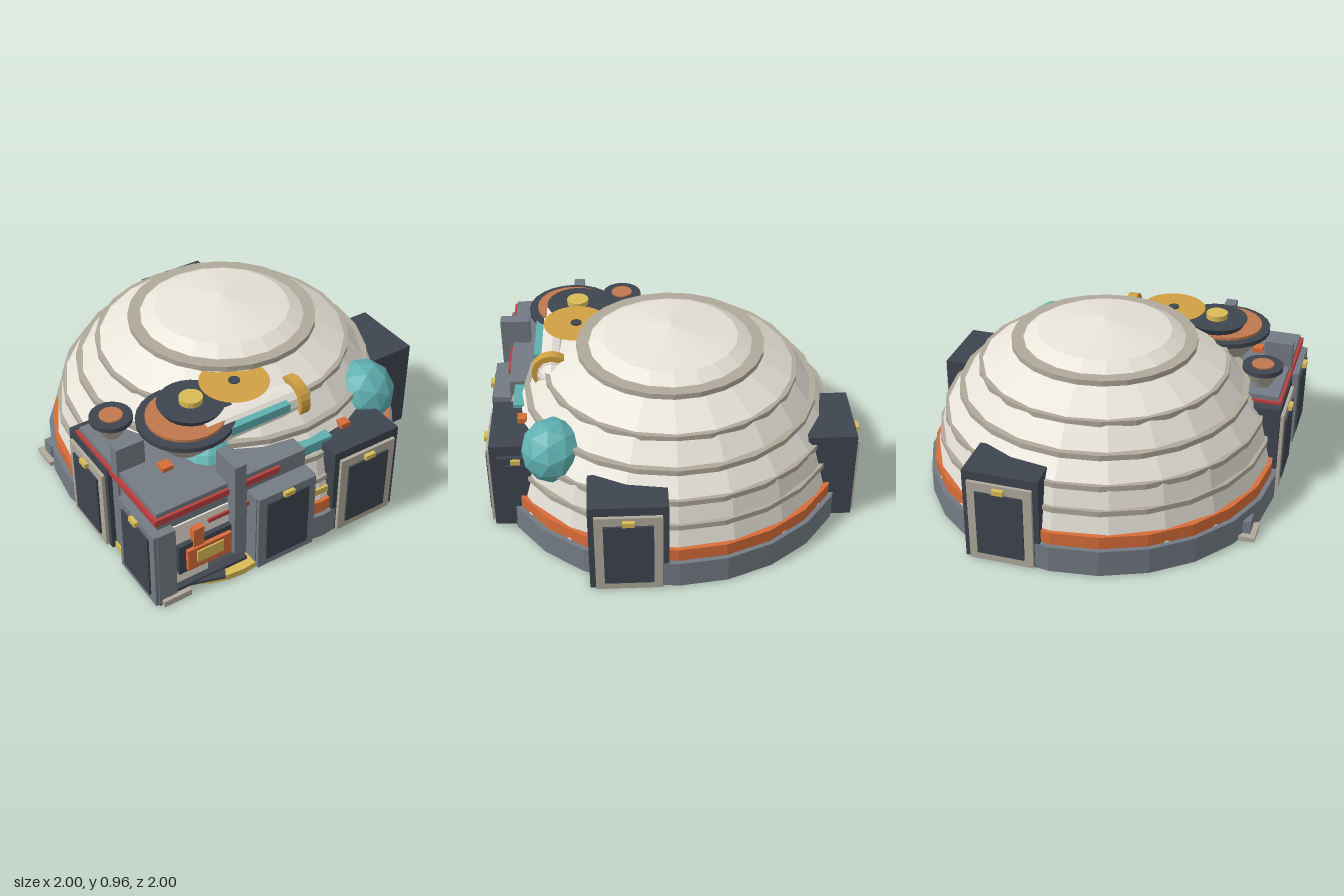
import * as THREE from 'three';

const mat = (name, color) => {
  const m = new THREE.MeshStandardMaterial({ color, flatShading: true });
  m.name = name;
  return m;
};

export function createModel() {
  const shell = mat('shell white', 0xe9e5db);
  const stone = mat('stone', 0xb0aa9c);
  const gray = mat('steel gray', 0x747b84);
  const dark = mat('dark slate', 0x3f454f);
  const copper = mat('copper', 0xc0774e);
  const orange = mat('orange', 0xd86d39);
  const teal = mat('teal', 0x5fb0b1);
  const gold = mat('gold', 0xd0a043);
  const yellow = mat('yellow', 0xd8bb56);
  const red = mat('red', 0xbb3f3e);

  const model = new THREE.Group();
  model.name = 'domeHabitat';

  const add = (parent, name, geo, material, x = 0, y = 0, z = 0) => {
    const m = new THREE.Mesh(geo, material);
    m.name = name;
    m.position.set(x, y, z);
    parent.add(m);
    return m;
  };
  // box given by its limits on each axis
  const box = (parent, name, material, x0, x1, y0, y1, z0, z1) =>
    add(parent, name, new THREE.BoxGeometry(x1 - x0, y1 - y0, z1 - z0), material,
      (x0 + x1) / 2, (y0 + y1) / 2, (z0 + z1) / 2);
  // upright cylinder given by its bottom and top
  const drum = (parent, name, material, rBottom, rTop, y0, y1, x = 0, z = 0, sides = 24) =>
    add(parent, name, new THREE.CylinderGeometry(rTop, rBottom, y1 - y0, sides), material, x, (y0 + y1) / 2, z);
  const side = (name, angle) => {
    const g = new THREE.Group();
    g.name = name;
    g.rotation.y = angle;
    model.add(g);
    return g;
  };

  // foundation and dome
  drum(model, 'foundation', gray, 0.97, 0.97, 0.002, 0.15);
  drum(model, 'orangeBand', orange, 0.945, 0.945, 0.15, 0.22);
  const dome = add(model, 'dome', new THREE.SphereGeometry(0.94, 20, 4, 0, Math.PI * 2, 0, Math.PI / 2), shell, 0, 0.15, 0);
  dome.scale.y = 0.81 / 0.94;
  [[0.335, 0.91], [0.46, 0.875], [0.585, 0.79], [0.712, 0.68], [0.84, 0.5]].forEach(([y, r]) =>
    drum(model, 'domeRib', stone, r, r, y - 0.015, y + 0.015));

  // airlock doors, each facing local +z
  const airlock = (parent, x, body, frame, width, height, inner) => {
    const g = new THREE.Group();
    g.name = 'airlock';
    g.position.x = x;
    parent.add(g);
    const w = width / 2;
    box(g, 'airlockBody', body, -w, w, 0, height, inner, 0.96);
    box(g, 'doorFrame', frame, -0.17, 0.17, 0.005, Math.min(0.47, height), 0.96, 0.978);
    box(g, 'doorPanel', dark, -0.125, 0.125, 0.05, 0.42, 0.978, 0.988);
    box(g, 'doorLamp', yellow, -0.03, 0.03, 0.428, 0.455, 0.978, 1.0);
  };
  const front = side('frontSide', 0);
  const right = side('leftSide', Math.PI / 2);
  const back = side('backSide', Math.PI);
  const left = side('rightSide', -Math.PI / 2);
  airlock(front, 0.25, dark, stone, 0.4, 0.52, 0.7);
  airlock(right, -0.25, dark, stone, 0.4, 0.52, 0.7);
  airlock(back, -0.25, dark, stone, 0.4, 0.52, 0.7);
  airlock(left, 0.25, dark, stone, 0.4, 0.52, 0.7);
  airlock(front, -0.25, gray, gray, 0.35, 0.46, 0.86);
  airlock(left, 0.75, gray, gray, 0.35, 0.46, 0.86);

  // side hatch of the front airlock
  box(model, 'sideHatchFrame', dark, 0.45, 0.475, 0.02, 0.46, 0.72, 0.92);
  box(model, 'sideHatchPanel', dark, 0.475, 0.485, 0.05, 0.42, 0.75, 0.89);
  box(model, 'sideHatchLamp', yellow, 0.475, 0.49, 0.428, 0.455, 0.8, 0.85);
  box(model, 'orangeBeacon', orange, 0.195, 0.25, 0.515, 0.548, 0.77, 0.82);

  // corner workshop with red trim
  box(model, 'workshop', gray, -0.935, -0.08, 0.004, 0.56, 0.12, 0.88);
  box(model, 'frontStripe', red, -0.95, -0.24, 0.5, 0.535, 0.88, 0.896);
  box(model, 'sideStripe', red, -0.952, -0.935, 0.5, 0.535, 0.105, 0.896);
  box(model, 'rearStripe', red, -0.935, -0.78, 0.5, 0.535, 0.105, 0.12);
  box(model, 'frontPillar', gray, -0.54, -0.475, 0.14, 0.7, 0.78, 0.945);
  box(model, 'sidePillar', gray, -0.945, -0.79, 0.14, 0.7, 0.47, 0.53);
  box(model, 'cornerFooting', stone, -0.945, -0.79, 0, 0.035, 0.85, 0.945);

  // work bay on the workshop front
  box(model, 'lightPanel', shell, -0.85, -0.66, 0.06, 0.44, 0.88, 0.889);
  box(model, 'upperLightPanel', shell, -0.66, -0.54, 0.32, 0.44, 0.88, 0.889);
  box(model, 'smallStripe', red, -0.66, -0.4, 0.38, 0.4, 0.885, 0.9);
  box(model, 'consoleBack', dark, -0.84, -0.54, 0.14, 0.32, 0.885, 0.915);
  box(model, 'console', orange, -0.8, -0.55, 0.16, 0.29, 0.91, 0.935);
  box(model, 'consoleStem', orange, -0.76, -0.7, 0.28, 0.4, 0.885, 0.925);
  box(model, 'consoleScreen', yellow, -0.75, -0.6, 0.2, 0.27, 0.935, 0.943);
  box(model, 'baySill', dark, -0.86, -0.45, 0.042, 0.06, 0.88, 0.925);
  box(model, 'tealLink', teal, -0.09, 0.11, 0.48, 0.54, 0.7, 0.85);
  box(model, 'yellowPipe', yellow, -0.09, 0.05, 0.25, 0.285, 0.8, 0.92);

  // landing disc at ground level
  drum(model, 'groundDisc', yellow, 0.45, 0.45, 0.001, 0.035, -0.5, 0.52, 32);
  drum(model, 'groundDiscCore', gray, 0.37, 0.37, 0, 0.02, -0.46, 0.55, 32);
  const ramp = new THREE.Shape([[-0.78, -0.92], [-0.61, -0.975], [-0.58, -0.92]].map(p => new THREE.Vector2(...p)));
  const rampMesh = add(model, 'discRamp', new THREE.ExtrudeGeometry(ramp, { depth: 0.015, bevelEnabled: false }), dark, 0, 0.036, 0);
  rampMesh.rotation.x = -Math.PI / 2;

  // small service port at the rear corner
  box(model, 'servicePlate', stone, -0.945, -0.84, 0, 0.025, -0.44, -0.29);
  box(model, 'servicePort', gray, -0.915, -0.84, 0.025, 0.1, -0.405, -0.325);

  // roof dishes
  drum(model, 'mainDishCone', stone, 0.11, 0.235, 0.57, 0.72, -0.555, 0.53);
  drum(model, 'mainDishRim', dark, 0.247, 0.247, 0.718, 0.743, -0.555, 0.53);
  drum(model, 'mainDishFace', copper, 0.2, 0.2, 0.74, 0.758, -0.555, 0.53);
  drum(model, 'mainDishHub', dark, 0.15, 0.172, 0.758, 0.795, -0.505, 0.5);
  drum(model, 'mainDishCap', yellow, 0.06, 0.06, 0.795, 0.825, -0.505, 0.5, 16);
  drum(model, 'smallDishCone', stone, 0.05, 0.1, 0.56, 0.65, -0.82, 0.25);
  drum(model, 'smallDishRim', dark, 0.11, 0.11, 0.65, 0.675, -0.82, 0.25);
  drum(model, 'smallDishFace', copper, 0.06, 0.06, 0.675, 0.682, -0.82, 0.25);
  drum(model, 'goldDish', gold, 0.04, 0.178, 0.77, 0.82, -0.255, 0.505, 32);
  drum(model, 'goldDishPin', dark, 0.03, 0.03, 0.81, 0.827, -0.255, 0.505, 12);
  drum(model, 'goldDishPost', gray, 0.025, 0.025, 0.56, 0.78, -0.255, 0.505, 8);
  add(model, 'roofBubble', new THREE.SphereGeometry(0.15, 12, 4, 0, Math.PI * 2, 0, Math.PI / 2), teal, -0.48, 0.49, 0.61);
  box(model, 'roofBeacon', orange, -0.76, -0.7, 0.56, 0.585, 0.59, 0.65);

  // telescope lying along x
  const scope = new THREE.Group();
  scope.name = 'telescope';
  scope.position.set(0, 0.69, 0.635);
  model.add(scope);
  const tube = add(scope, 'telescopeTube', new THREE.CylinderGeometry(0.08, 0.08, 0.58, 12), shell, -0.23, 0, 0);
  const tip = add(scope, 'telescopeTip', new THREE.CylinderGeometry(0.01, 0.075, 0.07, 12), shell, 0.095, 0, 0);
  const collar = add(scope, 'telescopeCollar', new THREE.CylinderGeometry(0.108, 0.108, 0.055, 20), gold, 0.02, 0.005, 0);
  [tube, tip, collar].forEach(m => { m.rotation.z = -Math.PI / 2; });
  box(scope, 'telescopeStripe', teal, -0.42, -0.07, 0.005, 0.052, 0.03, 0.098);

  // faceted tank beside the front airlock
  const tank = add(model, 'tealTank', new THREE.IcosahedronGeometry(0.172, 1), teal, 0.485, 0.52, 0.62);
  tank.rotation.set(0.3, 0.5, 0.2);

  return model;
}
